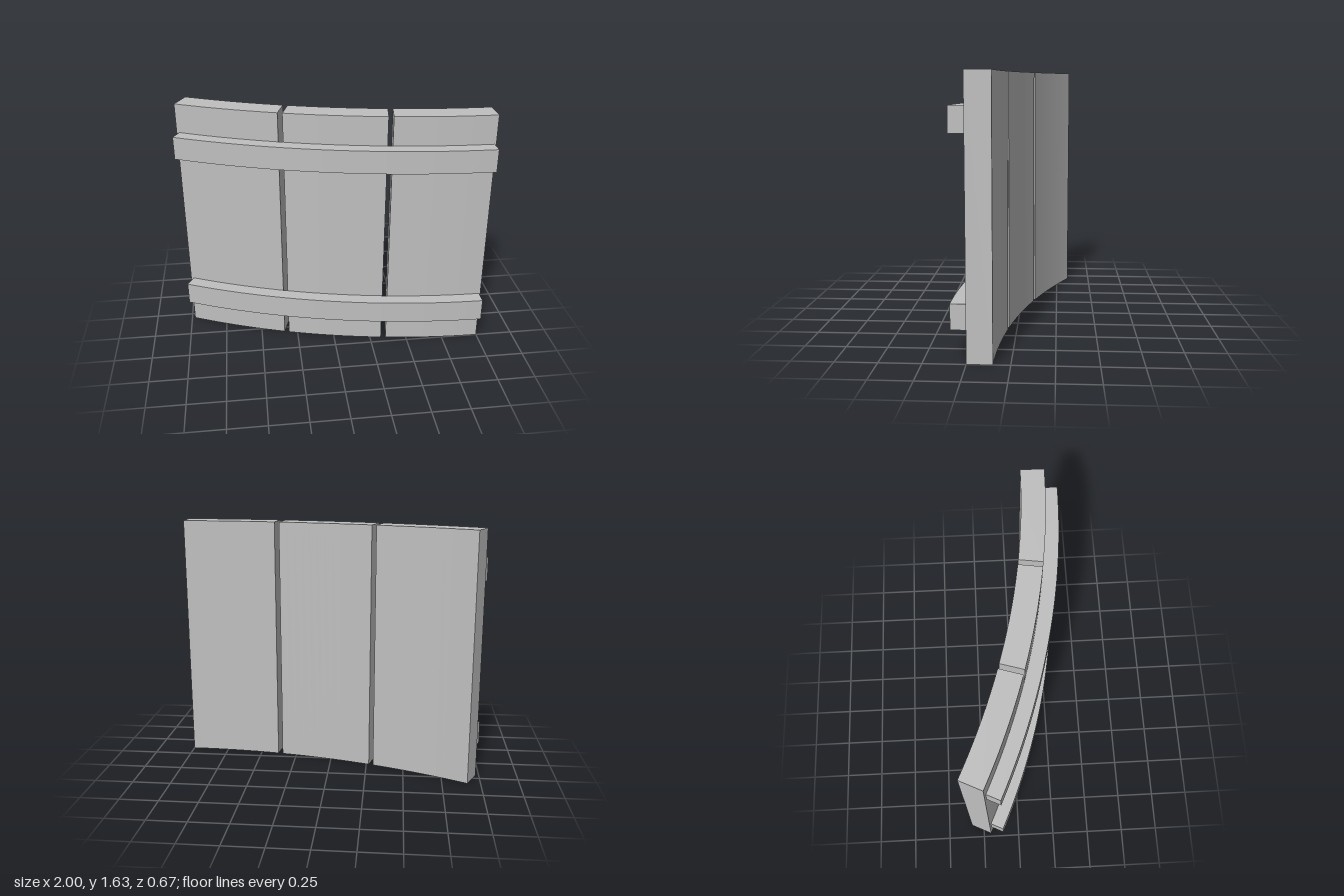
import * as THREE from 'three';

// Centre of curvature in plan; angles are measured from +z towards -x
const CX = 1, CZ = -4.33;
const BACK = 4.43, FACE = 4.58, FRONT = 4.67;

// Curved slab between two radii and two angles, rising from y0 to y1
function arcSlab(rIn, rOut, fromDeg, toDeg, y0, y1, segments) {
  const point = (r, t) => {
    const a = THREE.MathUtils.degToRad(fromDeg + (toDeg - fromDeg) * t);
    return new THREE.Vector2(CX - r * Math.sin(a), -(CZ + r * Math.cos(a)));
  };
  const outline = [];
  for (let i = 0; i <= segments; i++) outline.push(point(rOut, i / segments));
  for (let i = segments; i >= 0; i--) outline.push(point(rIn, i / segments));
  const geometry = new THREE.ExtrudeGeometry(new THREE.Shape(outline), {
    depth: y1 - y0, bevelEnabled: false, steps: 1,
  });
  geometry.rotateX(-Math.PI / 2);
  geometry.translate(0, y0, 0);
  return geometry;
}

export function createModel() {
  const group = new THREE.Group();
  group.name = 'curvedPlankPanel';
  const grey = new THREE.MeshStandardMaterial({ color: 0xc0c0c0 });
  grey.name = 'plain grey';

  const add = (name, geometry) => {
    const mesh = new THREE.Mesh(geometry, grey);
    mesh.name = name;
    group.add(mesh);
  };

  // Three upright planks separated by narrow radial gaps
  const planks = [
    ['leftPlank', 0, 8.06],
    ['middlePlank', 8.46, 16.62],
    ['rightPlank', 17.01, 25.6],
  ];
  for (const [name, from, to] of planks) {
    add(name, arcSlab(BACK, FACE, from, to, 0, 1.63, 12));
  }

  // Two curved rails across the front
  for (const [name, y] of [['lowerRail', 0.195], ['upperRail', 1.29]]) {
    add(name, arcSlab(FACE, FRONT, 0.12, 25.36, y, y + 0.15, 36));
  }

  return group;
}
